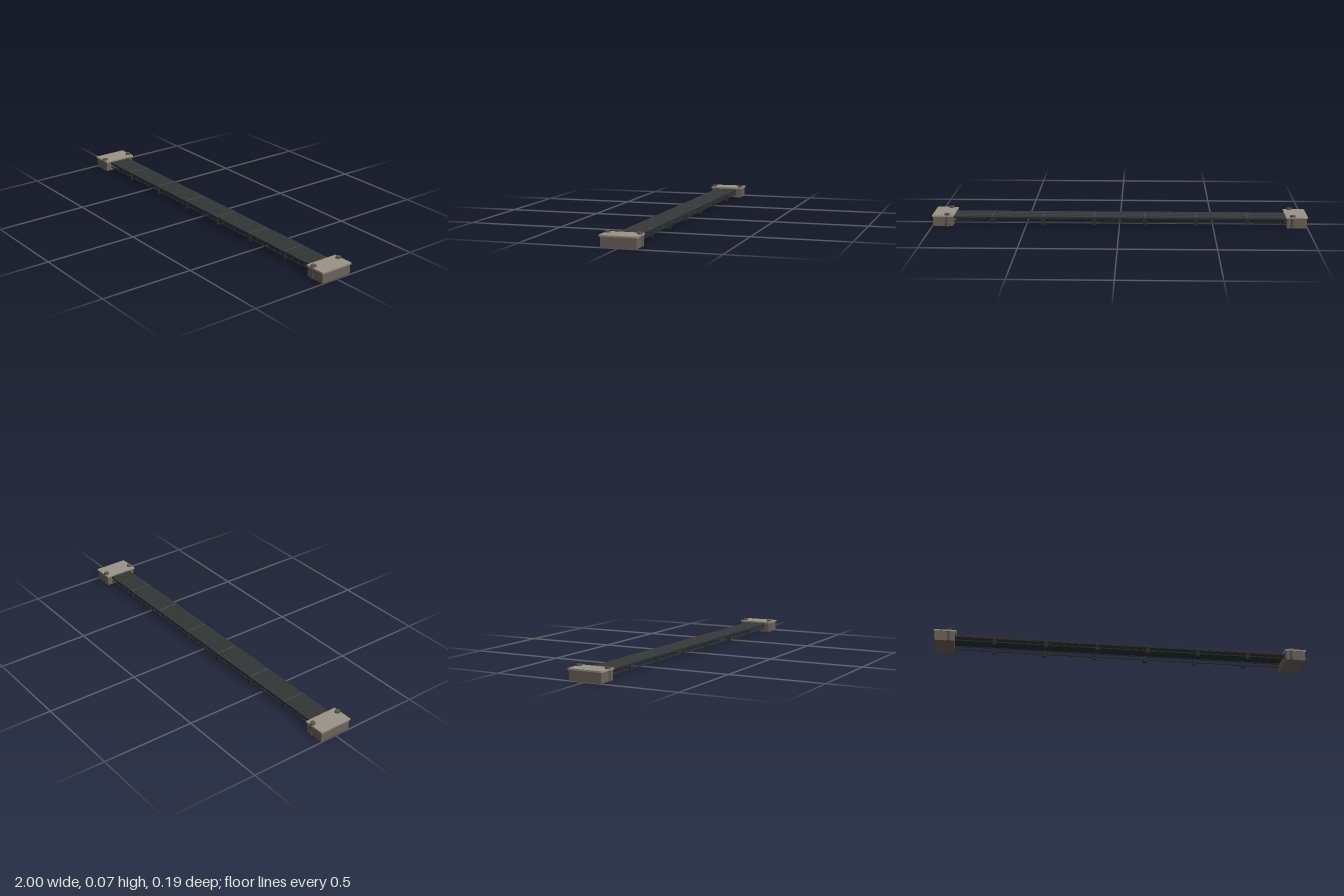
import * as THREE from 'three';

const mat = (color) => new THREE.MeshStandardMaterial({ color, flatShading: true });
const stone = mat(0x6b6259), capStone = mat(0x9a9486), postStone = mat(0x5a544d);
const steel = mat(0x2a2c2e), plank = mat(0x38393a), joint = mat(0x484a4a);

function box(parent, name, size, pos, material) {
  const m = new THREE.Mesh(new THREE.BoxGeometry(...size), material);
  m.name = name;
  m.position.set(...pos);
  parent.add(m);
  return m;
}

function cylinder(parent, name, r, y0, y1, x, z, material) {
  const m = new THREE.Mesh(new THREE.CylinderGeometry(r, r, y1 - y0, 12), material);
  m.name = name;
  m.position.set(x, (y0 + y1) / 2, z);
  parent.add(m);
}

// End block with overhanging cap and two round posts
function abutment(side) {
  const g = new THREE.Group();
  g.name = side > 0 ? 'leftAbutment' : 'rightAbutment';
  box(g, 'abutmentBody', [0.104, 0.052, 0.178], [side * 0.943, 0.026, 0], stone);
  box(g, 'abutmentCap', [0.115, 0.008, 0.187], [side * 0.9425, 0.056, 0], capStone);
  for (const s of [-1, 1]) {
    cylinder(g, 'post', 0.0135, 0, 0.06, side * 0.92, s * 0.08, postStone);
    cylinder(g, 'postFoot', 0.0148, 0, 0.022, side * 0.92, s * 0.08, postStone);
    cylinder(g, 'postHead', 0.0142, 0.06, 0.068, side * 0.92, s * 0.08, postStone);
  }
  return g;
}

// Side truss: two chords with zigzag diagonals
function truss(z) {
  const g = new THREE.Group();
  g.name = z > 0 ? 'frontTruss' : 'backTruss';
  const yLow = 0.019, yHigh = 0.039, half = 0.89, bays = 78;
  box(g, 'bottomChord', [half * 2, 0.005, 0.006], [0, yLow, z], steel);
  box(g, 'topChord', [half * 2, 0.006, 0.006], [0, yHigh, z], steel);
  const step = half * 2 / bays, rise = yHigh - yLow;
  for (let i = 0; i < bays; i++) {
    const d = box(g, 'diagonal', [Math.hypot(step, rise), 0.0025, 0.003],
      [-half + (i + 0.5) * step, (yLow + yHigh) / 2, z], steel);
    d.rotation.z = (i % 2 ? -1 : 1) * Math.atan2(rise, step);
  }
  return g;
}

export function createModel() {
  const model = new THREE.Group();
  model.name = 'footbridge';
  model.add(abutment(1), abutment(-1));

  // Deck slab with lengthwise planks
  const deck = new THREE.Group();
  deck.name = 'deck';
  box(deck, 'deckSlab', [1.78, 0.006, 0.124], [0, 0.042, 0], steel);
  const planks = 10, pitch = 0.124 / planks;
  for (let i = 0; i < planks; i++)
    box(deck, 'plank', [1.78, 0.003, pitch * 0.84], [0, 0.0465, -0.062 + (i + 0.5) * pitch], plank);
  model.add(deck);

  model.add(truss(0.058), truss(-0.058));

  // Deck joints with a hanging bearing block under each side
  for (let i = 0; i < 6; i++) {
    const x = (i - 2.5) * 0.273;
    box(model, 'deckJoint', [0.006, 0.004, 0.124], [x, 0.0464, 0], joint);
    for (const s of [-1, 1]) {
      box(model, 'bearingBlock', [0.02, 0.028, 0.014], [x, 0.018, s * 0.058], steel);
      box(model, 'bearingStem', [0.012, 0.012, 0.01], [x, 0.036, s * 0.058], steel);
    }
  }
  return model;
}
